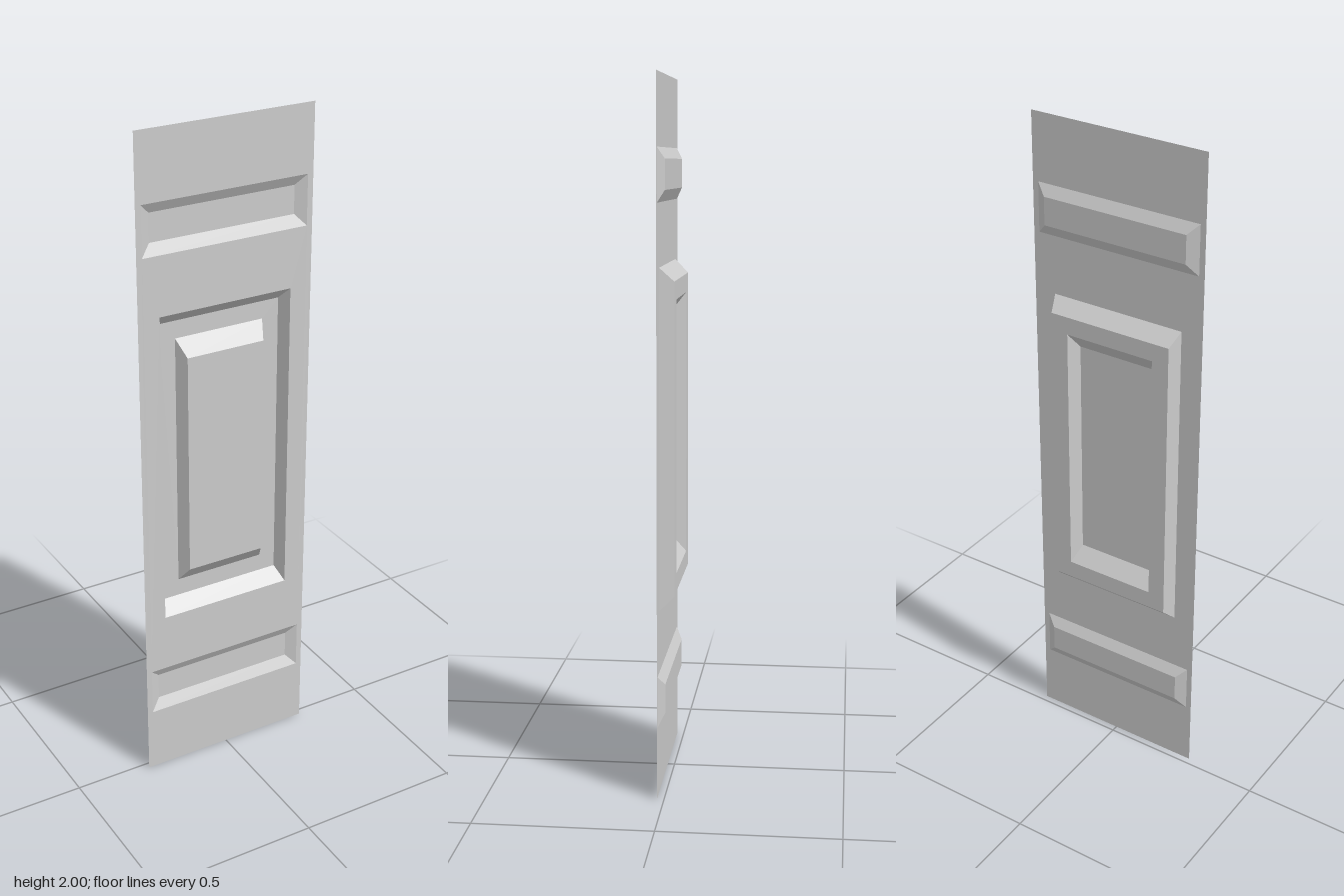
import * as THREE from 'three';

const material = new THREE.MeshStandardMaterial({ color: 0xcccccc, flatShading: true, side: THREE.DoubleSide });

// Levels from front to back
const FACE = 0.02, BAR_FLOOR = 0.002, GROOVE_FLOOR = -0.02, FIELD = 0.018;

// A step is a rectangle: half width, bottom, top, depth
const step = (w, y0, y1, z) => ({ w, y0, y1, z });
const corners = ({ w, y0, y1, z }) => [[-w, y0, z], [w, y0, z], [w, y1, z], [-w, y1, z]];

// Nested rectangles joined by mitred bands, closed by a flat floor
function pressedPanel(name, steps) {
  const points = [];
  const quad = (a, b, c, d) => points.push(...a, ...b, ...c, ...a, ...c, ...d);
  const loops = steps.map(corners);
  for (let s = 0; s + 1 < loops.length; s++) {
    const outer = loops[s], inner = loops[s + 1];
    for (let i = 0; i < 4; i++) {
      const j = (i + 1) % 4;
      quad(outer[i], outer[j], inner[j], inner[i]);
    }
  }
  quad(...loops[loops.length - 1]);
  const geometry = new THREE.BufferGeometry();
  geometry.setAttribute('position', new THREE.Float32BufferAttribute(points, 3));
  geometry.computeVertexNormals();
  const mesh = new THREE.Mesh(geometry, material);
  mesh.name = name;
  return mesh;
}

// Flat sheet with an opening for each pressed panel
function faceSheet(openings) {
  const outline = (r) => corners(r).map(([x, y]) => new THREE.Vector2(x, y));
  const shape = new THREE.Shape(outline(step(0.272, 0, 2, FACE)));
  for (const r of openings) shape.holes.push(new THREE.Path(outline(r).reverse()));
  const mesh = new THREE.Mesh(new THREE.ShapeGeometry(shape).translate(0, 0, FACE), material);
  mesh.name = 'faceSheet';
  return mesh;
}

export function createModel() {
  const group = new THREE.Group();
  group.name = 'doorPanel';

  // Wide recessed bars above and below the centre
  const bar = (y0, y1) => [
    step(0.255, y0, y1, FACE),
    step(0.224, y0 + 0.033, y1 - 0.031, BAR_FLOOR),
  ];

  // Centre: sloped groove around a raised field
  const centre = [
    step(0.206, 0.525, 1.48, FACE),
    step(0.191, 0.563, 1.442, GROOVE_FLOOR),
    step(0.139, 0.616, 1.389, GROOVE_FLOOR),
    step(0.121, 0.664, 1.34, FIELD),
  ];

  const panels = { upperBar: bar(1.655, 1.802), centrePanel: centre, lowerBar: bar(0.202, 0.348) };
  group.add(faceSheet(Object.values(panels).map((steps) => steps[0])));
  for (const [name, steps] of Object.entries(panels)) group.add(pressedPanel(name, steps));
  return group;
}
